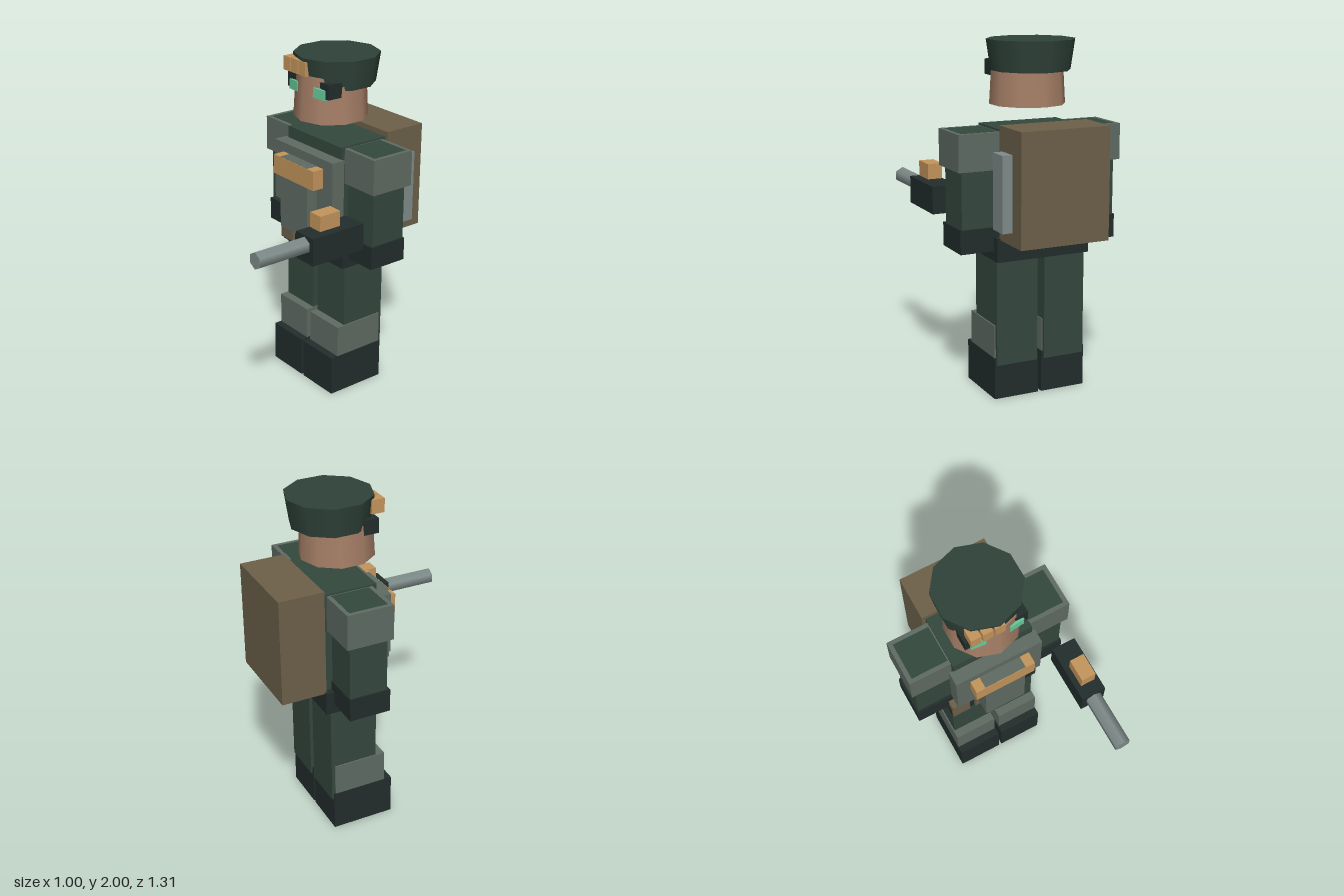
import * as THREE from 'three';

const mat = (color) => new THREE.MeshStandardMaterial({ color });

export function createModel() {
  const model = new THREE.Group();
  const cloth = mat(0x34483e), armor = mat(0x5f6b63), dark = mat(0x222d2c), canvas = mat(0x6d604a);
  const skin = mat(0xa67f67), tan = mat(0xc4955c), glass = mat(0x68cc9c), metal = mat(0x7f8c8a);
  const mid = -0.007; // symmetry plane of the body

  // Box given by its extents along each axis
  function box(name, material, [x0, x1], [y0, y1], [z0, z1]) {
    const mesh = new THREE.Mesh(new THREE.BoxGeometry(x1 - x0, y1 - y0, z1 - z0), material);
    mesh.position.set((x0 + x1) / 2, (y0 + y1) / 2, (z0 + z1) / 2);
    mesh.name = name;
    model.add(mesh);
    return mesh;
  }

  function cylinder(name, material, rTop, rBottom, height, sides, x, y, z) {
    const mesh = new THREE.Mesh(new THREE.CylinderGeometry(rTop, rBottom, height, sides), material);
    mesh.position.set(x, y, z);
    mesh.name = name;
    model.add(mesh);
    return mesh;
  }

  // Limbs and eyewear, mirrored about the body's middle
  for (const [side, s] of [['right', -1], ['left', 1]]) {
    const span = (a, b) => [mid + s * a, mid + s * b].sort((p, q) => p - q);
    box(side + 'Boot', dark, span(0.01, 0.281), [0, 0.24], [-0.36, 0.013]);
    box(side + 'Leg', cloth, span(0.022, 0.271), [0.2, 0.85], [-0.37, -0.085]);
    box(side + 'KneeGuard', armor, span(0.016, 0.279), [0.21, 0.43], [-0.35, -0.033]);
    box(side + 'Arm', cloth, span(0.25, 0.467), [0.95, 1.521], [-0.345, -0.12]);
    box(side + 'ShoulderGuard', armor, span(0.243, 0.493), [1.315, 1.52], [-0.37, -0.095]);
    box(side + 'Glove', dark, span(0.245, 0.477), [0.86, 0.995], [-0.35, -0.105]);
    box(side + 'GogglePad', dark, span(0.1, 0.185), [1.795, 1.88], [-0.125, -0.025]);
    const lens = box(side + 'GoggleLens', glass, span(0.068, 0.155), [1.788, 1.845], [-0.045, -0.01]);
    lens.rotation.set(0, s * 0.12, s * -0.04);
  }

  // Trunk and carried gear
  box('torso', cloth, [-0.25, 0.237], [0.9, 1.53], [-0.39, -0.07]);
  box('belt', dark, [-0.29, 0.274], [0.805, 0.94], [-0.4, -0.06]);
  box('vestPlate', armor, [-0.275, 0.258], [1.1, 1.46], [-0.075, 0.008]);
  box('vestCentre', armor, [-0.133, 0.118], [0.975, 1.406], [-0.07, 0.077]);
  box('chestPouch', tan, [-0.19, 0.175], [1.29, 1.405], [0, 0.08]);
  for (let i = 0; i < 3; i++) {
    const x = -0.29 + i * 0.147;
    box('beltPouch', canvas, [x, x + 0.112], [0.823, 0.968], [-0.095, -0.043]);
  }
  box('backpack', canvas, [-0.271, 0.257], [0.932, 1.56], [-0.655, -0.39]);
  box('canteen', metal, [0.22, 0.315], [1.005, 1.425], [-0.55, -0.43]);

  // Head and cap
  cylinder('head', skin, 0.198, 0.213, 0.26, 10, mid, 1.77, -0.19);
  cylinder('cap', mat(0x2f4239), 0.247, 0.222, 0.17, 10, mid, 1.915, -0.231);
  for (let i = 0; i < 3; i++) {
    const x = -0.175 + i * 0.069;
    box('capBadge', tan, [x, x + 0.06], [1.9, 1.98], [-0.06, 0.017]);
  }

  // Hand-held launcher
  box('weaponBody', dark, [0.35, 0.497], [1.02, 1.178], [-0.02, 0.33]);
  box('weaponSight', tan, [0.38, 0.467], [1.192, 1.28], [0.122, 0.258]);
  cylinder('weaponBarrel', metal, 0.05, 0.05, 0.36, 6, 0.424, 1.12, 0.475).rotation.x = Math.PI / 2;

  return model;
}
